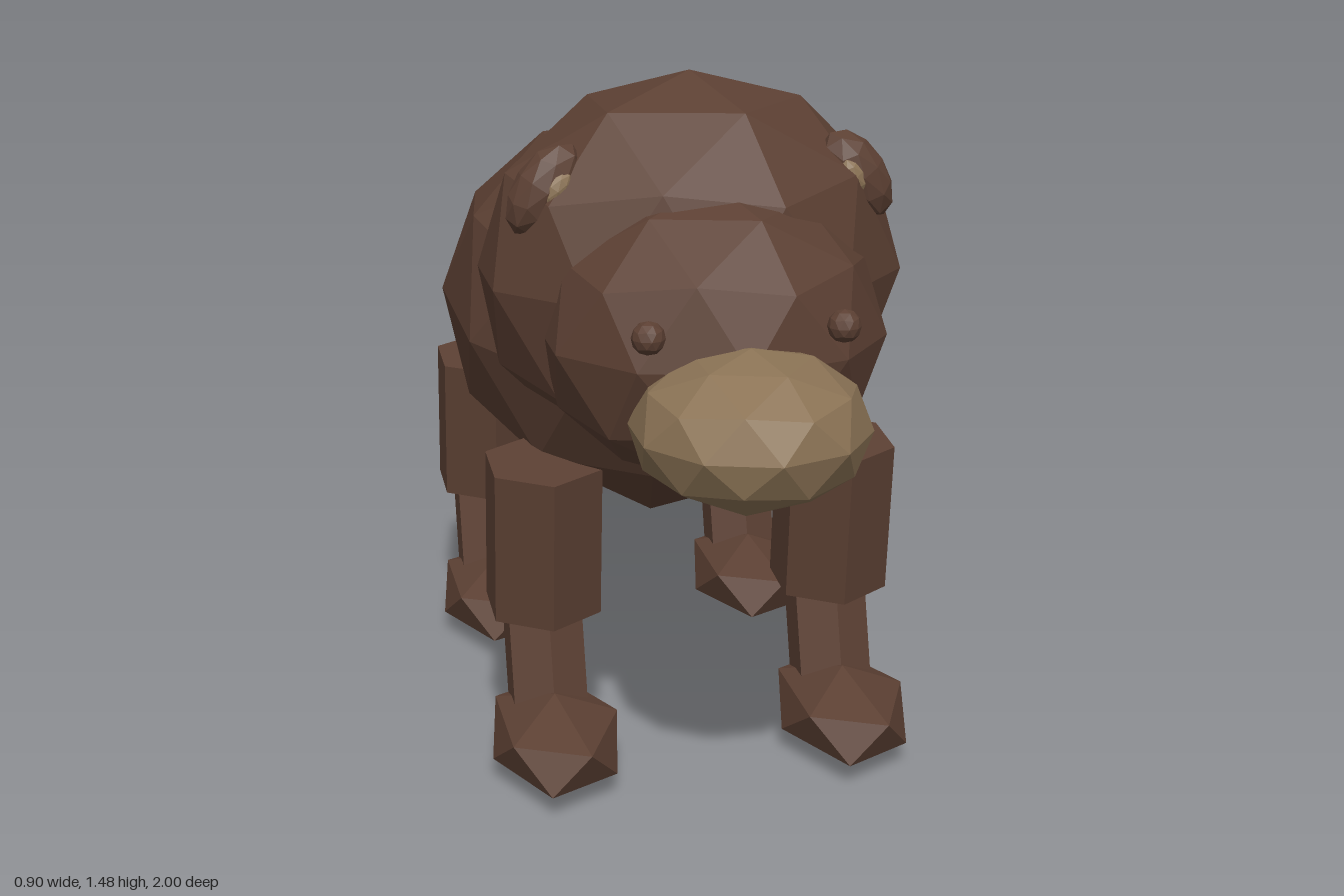
import * as THREE from 'three';

export function createModel() {
  const model = new THREE.Group();
  const fur = new THREE.MeshStandardMaterial({ color: 0x5c4033, flatShading: true });
  fur.name = 'brown fur';
  const tan = new THREE.MeshStandardMaterial({ color: 0x8b7355, flatShading: true });
  tan.name = 'tan muzzle';

  function add(parent, name, geometry, material, position, tilt = [0, 0, 0]) {
    const mesh = new THREE.Mesh(geometry, material);
    mesh.name = name;
    mesh.position.set(...position);
    mesh.rotation.set(...tilt);
    parent.add(mesh);
    return mesh;
  }

  // Faceted ball with a corner at its top and bottom poles
  function ball(detail, [rx, ry, rz]) {
    const g = new THREE.IcosahedronGeometry(1, detail);
    g.rotateX(-Math.atan((1 + Math.sqrt(5)) / 2));
    g.rotateY(Math.PI / 2);
    g.scale(rx, ry, rz);
    return g;
  }

  // Body, head and face
  add(model, 'body', ball(1, [0.46, 0.42, 0.74]), fur, [0, 0.886, -0.14]);
  add(model, 'head', ball(1, [0.447, 0.41, 0.345]), fur, [0, 1.07, 0.26]);
  add(model, 'face', ball(1, [0.352, 0.304, 0.308]), fur, [0, 0.988, 0.465]);
  add(model, 'muzzle', ball(1, [0.233, 0.155, 0.235]), tan, [0, 0.885, 0.765]);
  add(model, 'tail', ball(0, [0.1, 0.102, 0.115]), fur, [0, 0.818, -0.902]);

  // Eyes and ears
  for (const [side, s] of [['left', 1], ['right', -1]]) {
    add(model, side + 'Eye', ball(1, [0.033, 0.033, 0.033]), fur, [s * 0.19, 1.063, 0.735]);
    add(model, side + 'Ear', ball(1, [0.06, 0.105, 0.053]), fur, [s * 0.322, 1.276, 0.38], [0, 0, s * 0.6]);
    add(model, side + 'InnerEar', ball(1, [0.028, 0.045, 0.025]), tan, [s * 0.303, 1.28, 0.412], [0, 0, s * 0.6]);
  }

  // Legs: hexagonal thigh and shin with a flattened paw
  const thigh = new THREE.CylinderGeometry(0.13, 0.13, 0.335, 6);
  const shin = new THREE.CylinderGeometry(0.091, 0.091, 0.25, 6);
  const paw = ball(0, [0.15, 0.095, 0.235]);
  for (const [end, z] of [['front', 0], ['back', -0.795]]) {
    for (const [side, x] of [['Left', 0.317], ['Right', -0.317]]) {
      const leg = new THREE.Group();
      leg.name = end + side + 'Leg';
      leg.position.set(x, 0, z);
      add(leg, 'thigh', thigh, fur, [0, 0.513, 0.277], [0.1, 0, 0]);
      add(leg, 'shin', shin, fur, [0, 0.2, 0.28], [-0.3, 0, 0]);
      add(leg, 'paw', paw, fur, [0, 0.095, 0.387]);
      model.add(leg);
    }
  }
  return model;
}
